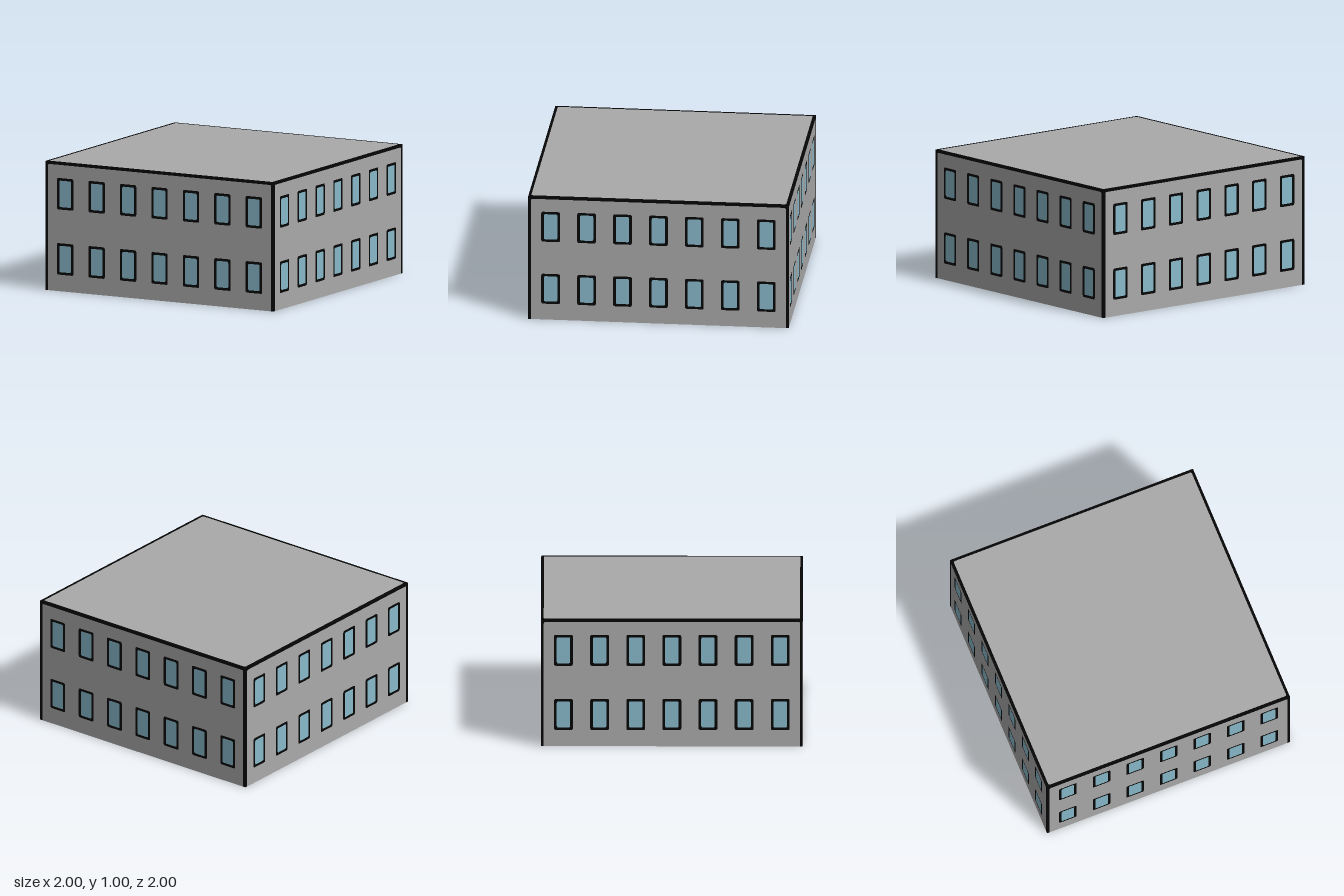
import * as THREE from 'three';
import { mergeGeometries } from 'three/addons/utils/BufferGeometryUtils.js';

const HEIGHT = 1, TRIM = 0.021;
const COLUMNS = 7, SPACING = 0.276, ROWS = [0.25, 0.755];

// Rectangle with rounded corners; bottom corners can stay square
function roundedRect(cx, cy, w, h, r, target = new THREE.Shape(), rb = r) {
  const l = cx - w / 2, t = cy + h / 2, rt = cx + w / 2, b = cy - h / 2;
  target.moveTo(l + rb, b).lineTo(rt - rb, b);
  if (rb) target.quadraticCurveTo(rt, b, rt, b + rb);
  target.lineTo(rt, t - r).quadraticCurveTo(rt, t, rt - r, t);
  target.lineTo(l + r, t).quadraticCurveTo(l, t, l, t - r);
  target.lineTo(l, b + rb);
  if (rb) target.quadraticCurveTo(l, b, l + rb, b);
  return target;
}

const flat = (shapes) => new THREE.ShapeGeometry(shapes, 3);

export function createModel() {
  const material = (name, color) =>
    new THREE.MeshStandardMaterial({ name, color, side: THREE.DoubleSide });
  const concrete = material('concrete grey', 0xaaaaaa);
  const black = material('trim black', 0x050505);
  const blue = material('glass blue', 0x89bacb);

  const model = new THREE.Group();
  model.name = 'building';
  const add = (parent, name, geometry, mat) => {
    const mesh = new THREE.Mesh(geometry, mat);
    mesh.name = name;
    parent.add(mesh);
  };

  // Wall sheet with window openings, and the frames and panes that fill them
  const innerW = 2 - 2 * TRIM, innerH = HEIGHT - TRIM;
  const wall = roundedRect(0, innerH / 2, innerW, innerH, 0.014, new THREE.Shape(), 0);
  const frames = [], panes = [];
  for (const y of ROWS) {
    for (let i = 0; i < COLUMNS; i++) {
      const x = (i - (COLUMNS - 1) / 2) * SPACING;
      wall.holes.push(roundedRect(x, y, 0.144, 0.244, 0.014, new THREE.Path()));
      const frame = roundedRect(x, y, 0.144, 0.244, 0.014);
      frame.holes.push(roundedRect(x, y, 0.103, 0.205, 0.012, new THREE.Path()));
      frames.push(frame);
      panes.push(roundedRect(x, y, 0.103, 0.205, 0.012));
    }
  }

  // Black edging down both sides and along the top of a wall
  const edging = new THREE.Shape();
  edging.moveTo(-1, 0).lineTo(-1 + TRIM, 0).lineTo(-1 + TRIM, innerH - 0.014);
  edging.quadraticCurveTo(-1 + TRIM, innerH, -1 + TRIM + 0.014, innerH);
  edging.lineTo(1 - TRIM - 0.014, innerH);
  edging.quadraticCurveTo(1 - TRIM, innerH, 1 - TRIM, innerH - 0.014);
  edging.lineTo(1 - TRIM, 0).lineTo(1, 0).lineTo(1, HEIGHT).lineTo(-1, HEIGHT);

  const wallGeo = flat(wall), edgingGeo = flat(edging);
  const frameGeo = mergeGeometries(frames.map(flat));
  const paneGeo = mergeGeometries(panes.map(flat));

  // Four identical sides around an open-bottomed shell
  ['front', 'left', 'back', 'right'].forEach((side, i) => {
    const group = new THREE.Group();
    group.name = side + 'Side';
    group.rotation.y = (i * Math.PI) / 2;
    group.position.set(Math.sin(group.rotation.y), 0, Math.cos(group.rotation.y));
    add(group, 'wall', wallGeo, concrete);
    add(group, 'wallEdging', edgingGeo, black);
    add(group, 'windowFrames', frameGeo, black);
    add(group, 'windowPanes', paneGeo, blue);
    model.add(group);
  });

  // Flat roof with black edging
  const roof = new THREE.Group();
  roof.name = 'roof';
  roof.rotation.x = -Math.PI / 2;
  roof.position.y = HEIGHT;
  const border = roundedRect(0, 0, 2, 2, 0);
  border.holes.push(roundedRect(0, 0, innerW, innerW, 0.014, new THREE.Path()));
  add(roof, 'roofPanel', flat(roundedRect(0, 0, innerW, innerW, 0.014)), concrete);
  add(roof, 'roofEdging', flat(border), black);
  model.add(roof);

  return model;
}
